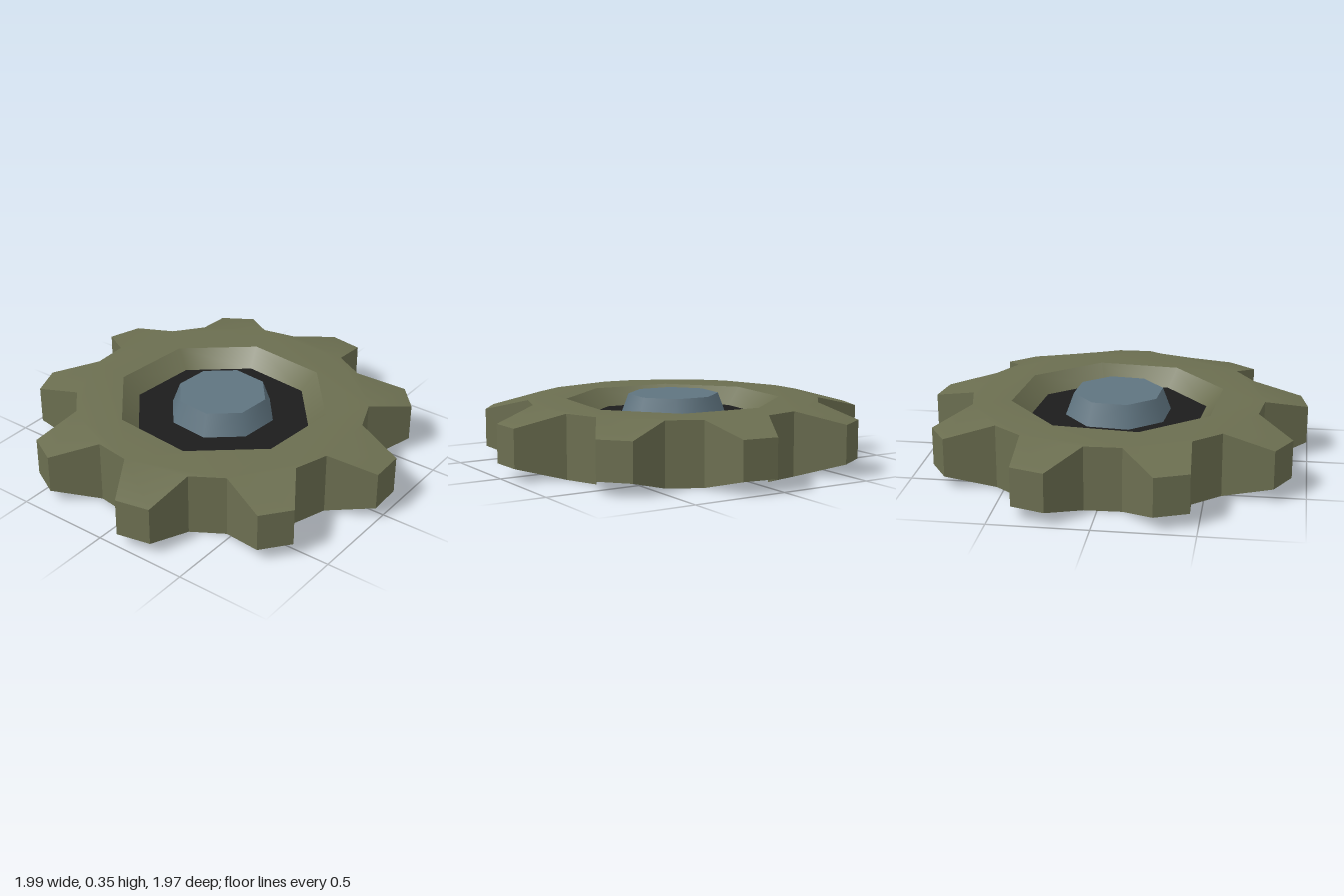
import * as THREE from 'three';
import { mergeGeometries, mergeVertices } from 'three/addons/utils/BufferGeometryUtils.js';

const RAD = Math.PI / 180;
const TEETH = 9;
const TOP = 0.33, TIP_TOP = 0.267, TIP_BOTTOM = 0.068, DISC_Y = 0.237, HUB_TOP = 0.355;
const R_TIP = 1.0, R_ROOT = 0.769;
const R_RIM = 0.566, R_DISC = 0.476, R_HUB = 0.282, R_CAP = 0.238;
const OCT = 17.5 * RAD; // shared twist of all the octagons

const material = (color, flatShading = false) =>
  new THREE.MeshStandardMaterial({ color, flatShading, side: THREE.DoubleSide });

// Point at radius r and angle a (degrees from +x toward +z)
const polar = (r, a, y) => new THREE.Vector3(r * Math.cos(a * RAD), y, r * Math.sin(a * RAD));

const fromTriangles = (points) => new THREE.BufferGeometry().setFromPoints(points);

// Four corners per tooth: root, tip, tip, root
function toothCorners(k) {
  const c = 8 + (k * 360) / TEETH;
  return [[R_ROOT, -13], [R_TIP, -5.2], [R_TIP, 5.2], [R_ROOT, 13]].map(([r, d]) => {
    const tip = r === R_TIP;
    return {
      top: polar(r, c + d, tip ? TIP_TOP : TOP),
      bottom: polar(r, c + d, tip ? TIP_BOTTOM : 0),
    };
  });
}

// Flat ring with an octagonal hole, plus a drooping quad for every tooth
function topPlate(teeth) {
  const roots = teeth.flatMap((t) => [t[0].top, t[3].top]);
  const shape = new THREE.Shape(roots.map((p) => new THREE.Vector2(p.x, -p.z)));
  const hole = [];
  for (let i = 0; i < 8; i++) {
    const t = OCT + (i * Math.PI) / 4;
    hole.push(new THREE.Vector2(R_RIM * Math.cos(t), R_RIM * Math.sin(t)));
  }
  shape.holes.push(new THREE.Path(hole));
  const ring = new THREE.ShapeGeometry(shape).toNonIndexed();
  ring.rotateX(-Math.PI / 2).translate(0, TOP, 0);
  ring.deleteAttribute('uv');
  ring.deleteAttribute('normal');

  const quads = fromTriangles(teeth.flatMap((t) => {
    const [a, b, c, d] = t.map((p) => p.top);
    return [a, d, b, d, c, b];
  }));
  const plate = mergeVertices(mergeGeometries([ring, quads]), 1e-4);
  plate.computeVertexNormals();
  return plate;
}

// Faceted wall following the toothed outline
function skirt(teeth) {
  const outline = teeth.flat();
  const geometry = fromTriangles(outline.flatMap((p, i) => {
    const q = outline[(i + 1) % outline.length];
    return [p.bottom, p.top, q.top, p.bottom, q.top, q.bottom];
  }));
  geometry.computeVertexNormals();
  return geometry;
}

// Open eight-sided cone section between two heights
function octagonWall(rTop, rBottom, yTop, yBottom) {
  return new THREE.CylinderGeometry(rTop, rBottom, yTop - yBottom, 8, 1, true, OCT)
    .translate(0, (yTop + yBottom) / 2, 0);
}

export function createModel() {
  const group = new THREE.Group();
  group.name = 'toothedWheel';
  const body = new THREE.Group();
  body.position.set(-0.002, 0, -0.011);
  group.add(body);

  const olive = 0x6b6e50, steel = 0x5f7480, black = 0x1c1c1c;
  const add = (name, geometry, mat) => {
    const mesh = new THREE.Mesh(geometry, mat);
    mesh.name = name;
    body.add(mesh);
  };

  // Toothed shell, open underneath
  const teeth = Array.from({ length: TEETH }, (_, k) => toothCorners(k));
  add('topPlate', topPlate(teeth), material(olive));
  add('toothedWall', skirt(teeth), material(olive, true));
  add('recessBevel', octagonWall(R_RIM, R_DISC, TOP, DISC_Y), material(olive));

  // Sunken dark disc
  const disc = new THREE.RingGeometry(R_HUB, R_DISC, 8, 1, OCT);
  add('recessDisc', disc.rotateX(-Math.PI / 2).translate(0, DISC_Y, 0), material(black));

  // Hollow hub
  add('hubWall', octagonWall(R_CAP, R_HUB, HUB_TOP, DISC_Y), material(steel));
  const cap = new THREE.CircleGeometry(R_CAP, 8, OCT);
  add('hubCap', cap.rotateX(-Math.PI / 2).translate(0, HUB_TOP, 0), material(steel));

  return group;
}
